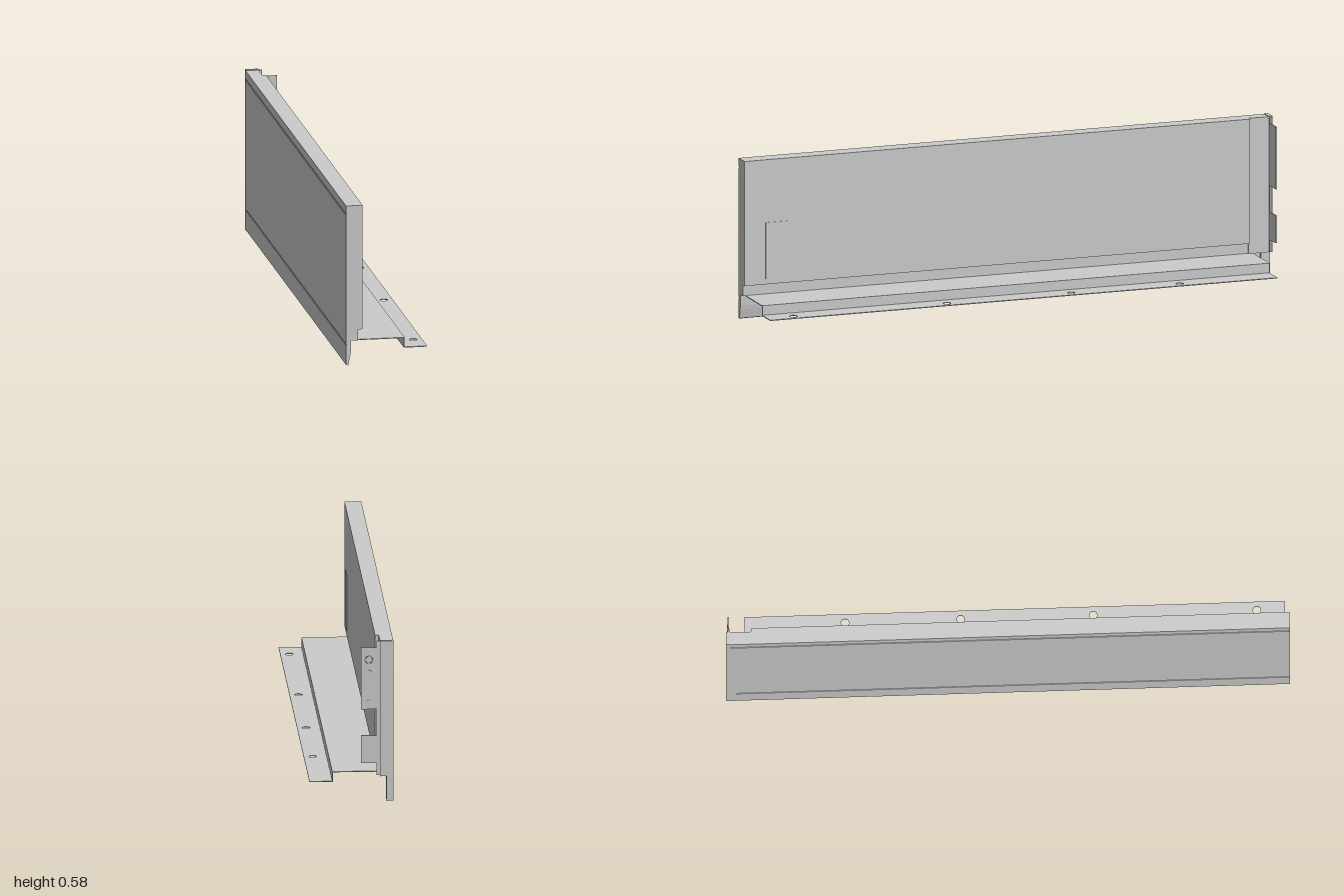
import * as THREE from 'three';

export function createModel() {
  const group = new THREE.Group();
  const material = new THREE.MeshStandardMaterial({ color: 0xcccccc, flatShading: true, side: THREE.DoubleSide });

  const add = (name, geometry) => {
    const mesh = new THREE.Mesh(geometry, material);
    mesh.name = name;
    group.add(mesh);
    return mesh;
  };
  // Box given by its lower and upper limits on each axis
  const box = (name, x0, x1, y0, y1, z0, z1) =>
    add(name, new THREE.BoxGeometry(x1 - x0, y1 - y0, z1 - z0)
      .translate((x0 + x1) / 2, (y0 + y1) / 2, (z0 + z1) / 2));
  // Cross-section in x and y, swept from z0 to z1
  const sweep = (name, points, z0, z1) => {
    const shape = new THREE.Shape(points.map(([x, y]) => new THREE.Vector2(x, y)));
    return add(name, new THREE.ExtrudeGeometry(shape, { depth: z1 - z0, bevelEnabled: false }).translate(0, 0, z0));
  };

  // Outer side with its two narrow grooves, from bottom to top
  const out = -0.147;
  const groove = (y) => [[out, y - 0.003], [out + 0.002, y - 0.002], [out + 0.002, y + 0.002], [out, y + 0.003]];

  // Main wall, stepped in above the tray
  sweep('sideWall', [
    [out, 0.09], ...groove(0.55), [out, 0.583],
    [-0.087, 0.583], [-0.087, 0.13], [-0.104, 0.13], [-0.104, 0.09],
  ], -0.91, 1);

  // Skirt that tapers to the bottom edge
  sweep('lowerSkirt', [
    [out, 0.002], ...groove(0.075), [out, 0.09],
    [-0.129, 0.09], [-0.13, 0.05], [-0.132, 0.035], [-0.139, 0.002], [-0.142, 0],
  ], -0.965, 1);
  box('skirtSeam', out - 0.0006, out, 0.002, 0.072, 0.879, 0.882);

  // Narrower rear end of the wall, and its foot
  sweep('rearWall', [
    [out, 0.09], ...groove(0.55), [out, 0.583], [-0.1, 0.583], [-0.1, 0.09],
  ], -0.998, -0.91);
  box('rearFoot', out, -0.123, 0, 0.09, -1, -0.965);
  box('rearCap', out, -0.1, 0.09, 0.585, -1, -0.985);

  // Cover plate on the inner face
  box('innerCover', -0.088, -0.0855, 0.15, 0.355, 0.83, 0.92);

  // Rear bracket: upright strip with two tabs
  const zBack = -0.992, zFront = -0.987;
  box('bracketStrip', -0.1, -0.087, 0.093, 0.583, zBack, zFront);
  sweep('upperTab', [[-0.087, 0.335], [-0.033, 0.333], [-0.033, 0.56], [-0.087, 0.56]], zBack, zFront);
  sweep('lowerTab', [[-0.087, 0.137], [-0.033, 0.137], [-0.033, 0.238], [-0.087, 0.237]], zBack, zFront);

  // Raised ring and slot outline on the upper tab
  add('tabRing', new THREE.TorusGeometry(0.013, 0.0015, 6, 24).translate(-0.06, 0.515, zBack));
  const slot = new THREE.Shape();
  slot.absarc(-0.06, 0.465, 0.012, 0, Math.PI);
  slot.absarc(-0.06, 0.375, 0.012, Math.PI, Math.PI * 2);
  const inner = new THREE.Path();
  inner.absarc(-0.06, 0.465, 0.009, 0, Math.PI);
  inner.absarc(-0.06, 0.375, 0.009, Math.PI, Math.PI * 2);
  slot.holes.push(inner);
  add('tabSlot', new THREE.ExtrudeGeometry(slot, { depth: 0.0015, bevelEnabled: false }).translate(0, 0, zBack - 0.0015));

  // Tray: upper shelf and step down
  const t = 0.003, z0 = -0.927, z1 = 0.99;
  sweep('trayShelf', [
    [-0.13, 0.088], [-0.13, 0.091], [0.066, 0.091], [0.066, 0.053], [0.063, 0.053], [0.063, 0.088],
  ], z0, z1);

  // Screw flange, drawn in x and -z and laid flat
  const flange = new THREE.Shape([[0.065, -z1], [0.147, -z1], [0.147, -z0], [0.065, -z0]]
    .map(([x, y]) => new THREE.Vector2(x, y)));
  for (const z of [-0.57, -0.16, 0.31, 0.89]) {
    const hole = new THREE.Path();
    hole.absarc(0.115, -z, 0.014, 0, Math.PI * 2);
    flange.holes.push(hole);
  }
  add('screwFlange', new THREE.ExtrudeGeometry(flange, { depth: t, bevelEnabled: false, curveSegments: 24 })
    .rotateX(-Math.PI / 2).translate(0, 0.053, 0));

  return group;
}
